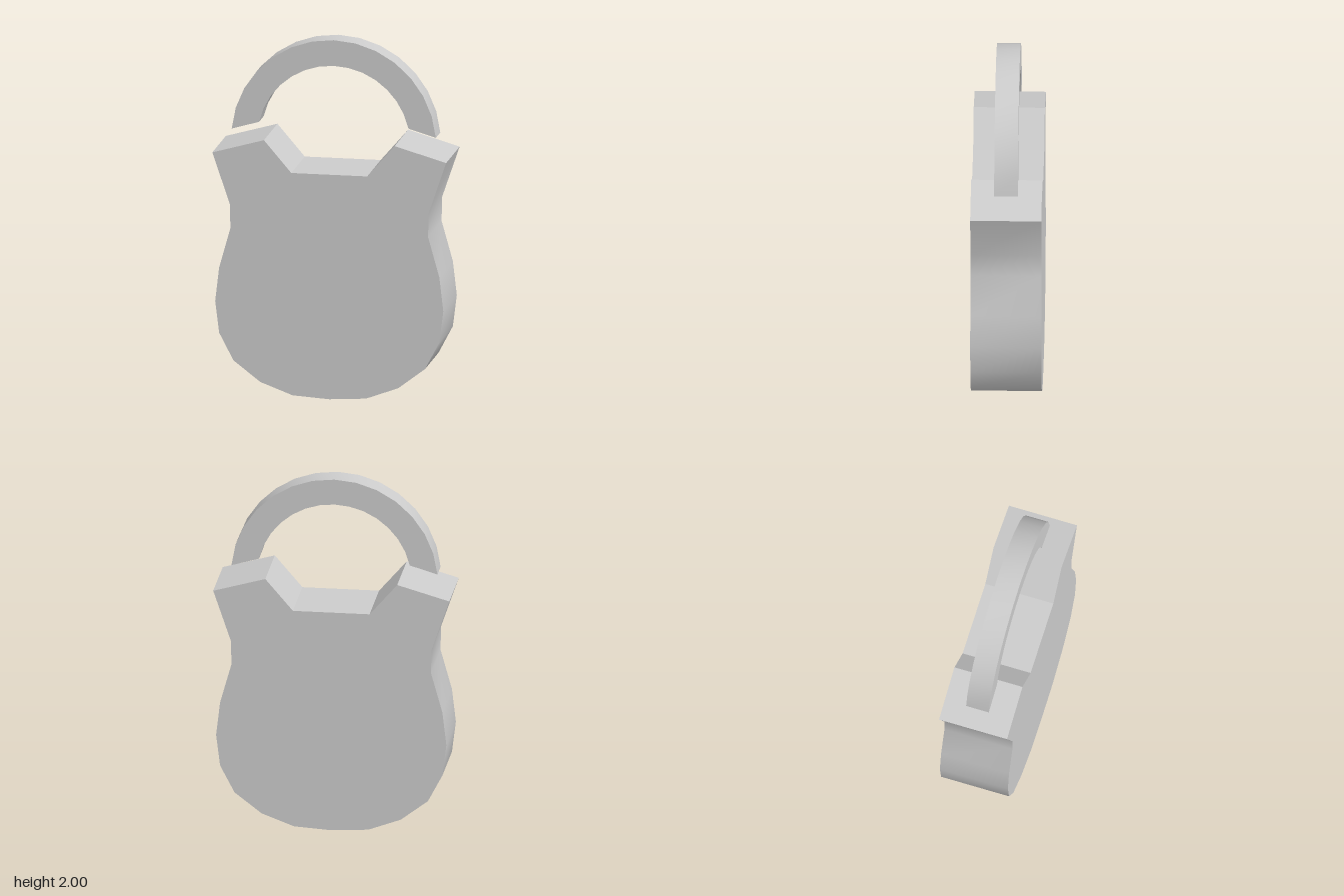
import * as THREE from 'three';
import { toCreasedNormals } from 'three/addons/utils/BufferGeometryUtils.js';

const material = new THREE.MeshStandardMaterial({ color: 0xcccccc });

// Extrude an outline centred on z = 0, smooth along its curves and sharp at its corners
function plate(name, points, depth) {
  const geometry = new THREE.ExtrudeGeometry(new THREE.Shape(points), { depth, bevelEnabled: false });
  geometry.translate(0, 0, -depth / 2);
  const mesh = new THREE.Mesh(toCreasedNormals(geometry, THREE.MathUtils.degToRad(35)), material);
  mesh.name = name;
  return mesh;
}

// Points along an arc that is symmetric about x = 0, from right end to left end
function arc(radius, centreY, halfAngle, segments) {
  return Array.from({ length: segments + 1 }, (_, i) => {
    const a = halfAngle * (1 - (2 * i) / segments);
    return new THREE.Vector2(radius * Math.sin(a), centreY + radius * Math.cos(a));
  });
}

export function createModel() {
  const group = new THREE.Group();
  group.name = 'padlock';

  // Body: half outline from the bottom up to the notch, mirrored
  const half = [
    [0.205, 0.018], [0.385, 0.085], [0.535, 0.2], [0.615, 0.353], [0.637, 0.53],
    [0.615, 0.72], [0.552, 0.945], [0.555, 1.08], [0.653, 1.368], [0.365, 1.45], [0.212, 1.272],
  ].map(([x, y]) => new THREE.Vector2(x, y));
  const mirrored = half.map((p) => new THREE.Vector2(-p.x, p.y)).reverse();
  group.add(plate('body', [new THREE.Vector2(0, 0.005), ...half, ...mirrored], 0.39));

  // Shackle: arched bar with slanted ends, floating just above the shoulders
  const outer = arc(0.572, 1.428, THREE.MathUtils.degToRad(85.3), 14);
  const inner = arc(0.427, 1.428, THREE.MathUtils.degToRad(77.5), 14);
  group.add(plate('shackle', [...outer, ...inner.reverse()], 0.13));

  return group;
}
